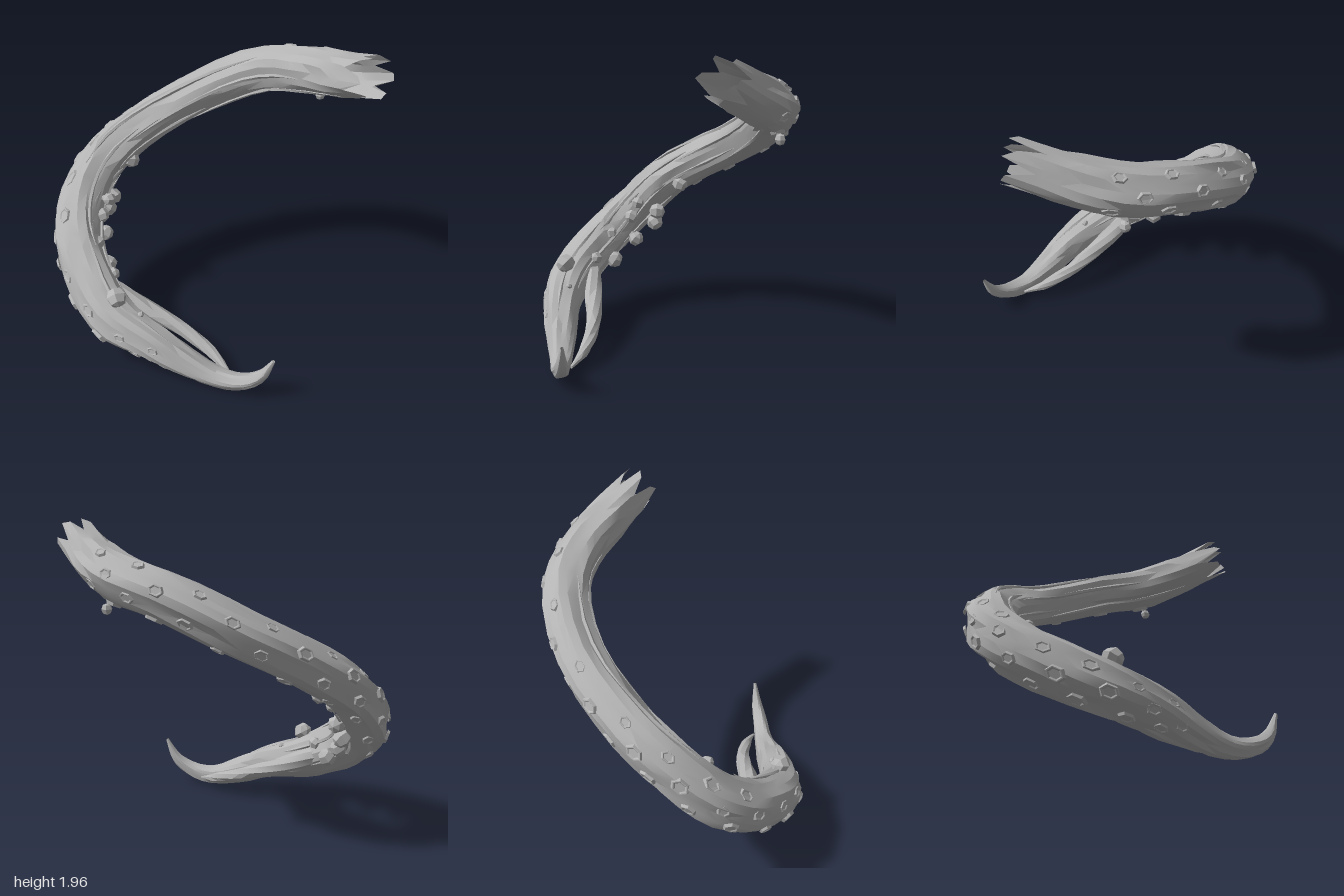
import * as THREE from 'three';
import { toCreasedNormals } from 'three/addons/utils/BufferGeometryUtils.js';

const V = (x, y, z) => new THREE.Vector3(x, y, z);
const UP = V(0, 1, 0);

// Seeded jitter in -1..1
const jitter = (i, j) => {
  const s = Math.sin(i * 127.1 + j * 311.7) * 43758.5453;
  return (s - Math.floor(s)) * 2 - 1;
};

// A limb is a centre line of [x, y, z, radius] with an outward/upward frame
function limb(points, ridge) {
  const curve = new THREE.CatmullRomCurve3(points.map(p => V(p[0], p[1], p[2])));
  const frame = t => {
    const tangent = curve.getTangent(t);
    const out = UP.clone().cross(tangent).normalize();
    const up = tangent.clone().cross(out);
    const k = Math.min(t * (points.length - 1), points.length - 1.0001);
    const i = Math.floor(k);
    const radius = THREE.MathUtils.lerp(points[i][3], points[i + 1][3], k - i);
    return { centre: curve.getPoint(t), tangent, out, up, radius };
  };
  const surface = (t, a, noise = 0) => {
    const f = frame(t);
    const normal = f.out.clone().multiplyScalar(Math.cos(a)).addScaledVector(f.up, Math.sin(a));
    const r = f.radius * (1 + ridge * Math.sin(5 * a + 9 * t) + noise);
    return { point: f.centre.clone().addScaledVector(normal, r), normal, tangent: f.tangent, radius: f.radius };
  };
  return { frame, surface };
}

// Skin a limb with long twisted facets; fray pushes the last ring out in points
function skin(body, rings, sides, rough, fray) {
  const position = [], index = [];
  for (let i = 0; i <= rings; i++) {
    const t = i / rings;
    for (let j = 0; j < sides; j++) {
      const a = (j / sides) * Math.PI * 2 + t * 2.5;
      const s = body.surface(t, a, rough * jitter(i >> 1, j));
      if (fray && i === rings) {
        s.point.addScaledVector(s.tangent, fray * (j % 3 ? 0.7 + 0.3 * jitter(j, 3) : -0.5));
      }
      position.push(s.point.x, s.point.y, s.point.z);
      if (i < rings) {
        const k = (j + 1) % sides;
        const p = i * sides + j, q = i * sides + k, u = p + sides, v = q + sides;
        if (j % 2) index.push(p, q, v, p, v, u);
        else index.push(p, q, u, q, v, u);
      }
    }
  }
  const g = new THREE.BufferGeometry();
  g.setAttribute('position', new THREE.Float32BufferAttribute(position, 3));
  g.setIndex(index);
  return toCreasedNormals(g, 0.32);
}

export function createModel() {
  const group = new THREE.Group();
  const grey = new THREE.MeshStandardMaterial({ color: 0xb4b4b4, side: THREE.DoubleSide });
  grey.name = 'stone grey';
  const add = (name, geometry) => {
    const mesh = new THREE.Mesh(geometry, grey);
    mesh.name = name;
    group.add(mesh);
    return mesh;
  };

  // Main limb, from the curled tip to the torn end
  const main = limb([
    [0.79, 0.32, 0.485, 0.01], [0.72, 0.175, 0.51, 0.038], [0.6, 0.092, 0.545, 0.052],
    [0.43, 0.07, 0.577, 0.066], [0.2, 0.14, 0.625, 0.094], [0, 0.22, 0.665, 0.113],
    [-0.25, 0.29, 0.685, 0.145], [-0.5, 0.415, 0.6, 0.156], [-0.72, 0.57, 0.45, 0.156],
    [-0.82, 0.75, 0.265, 0.152], [-0.81, 0.96, 0.03, 0.145], [-0.69, 1.13, -0.22, 0.142],
    [-0.4, 1.345, -0.525, 0.138], [0, 1.555, -0.685, 0.138], [0.35, 1.645, -0.655, 0.142],
    [0.6, 1.725, -0.54, 0.135], [0.81, 1.815, -0.41, 0.122],
  ], 0.07);
  add('limb', skin(main, 44, 18, 0.05, 0.13));

  // Short second tendril running behind the tip
  const side = limb([
    [0.5, 0.06, 0.5, 0.008], [0.35, 0.1, 0.45, 0.035], [0.12, 0.17, 0.435, 0.046],
    [-0.15, 0.26, 0.475, 0.058], [-0.42, 0.38, 0.54, 0.06],
  ], 0.05);
  add('sideTendril', skin(side, 14, 8, 0.08, 0));

  // Raised fibres that wind along the upper and front surface
  for (let n = 0; n < 8; n++) {
    const start = 0.28 + 0.065 * n, path = [];
    for (let k = 0; k <= 5; k++) {
      const p = main.surface(start + k * 0.042, 1.4 + (n * 1.1) % 2.6 + k * 0.1).point;
      path.push([p.x, p.y, p.z, k === 0 || k === 5 ? 0.002 : 0.014]);
    }
    add('fibre', skin(limb(path, 0), 10, 5, 0.1, 0));
  }

  // Six-sided dished suckers, in staggered rows over the outer and lower side
  const dish = new THREE.LatheGeometry([
    new THREE.Vector2(1.1, -0.35), new THREE.Vector2(0.92, 0.25),
    new THREE.Vector2(0.78, 0.25), new THREE.Vector2(0.6, 0.06), new THREE.Vector2(0, 0.06),
  ], 6);
  const suckerShape = toCreasedNormals(dish, 0.4);
  const rows = [1.05, 0.25, -0.5, -1.25];
  rows.forEach((angle, row) => {
    for (let k = 0; k < 13; k++) {
      const t = 0.27 + k * 0.052 + (row % 2) * 0.026;
      if (t > 0.9 || (row === 0 && t < 0.5)) continue;
      const s = main.surface(t, angle + 0.12 * jitter(k, row));
      const size = s.radius * (0.25 + 0.05 * jitter(row, k));
      const sucker = add('sucker', suckerShape);
      const across = s.normal.clone().cross(s.tangent);
      sucker.quaternion.setFromRotationMatrix(new THREE.Matrix4().makeBasis(across, s.normal, s.tangent));
      sucker.position.copy(s.point);
      sucker.scale.set(size, size * 0.75, size * 1.4);
    }
  });

  // Faceted knobs on the inner and lower side: x, y, z, radius
  const ball = toCreasedNormals(new THREE.SphereGeometry(1, 6, 4), 0.3);
  [
    [0.4, 1.465, -0.71, 0.034], [-0.62, 0.81, 0.23, 0.044], [-0.23, 0.47, 0.68, 0.066],
    [-0.085, 0.36, 0.63, 0.022], [-0.66, 0.95, -0.07, 0.058], [-0.73, 0.64, 0.12, 0.06],
    [-0.7, 0.73, 0.1, 0.058], [-0.66, 0.53, 0.25, 0.055], [-0.53, 0.41, 0.39, 0.06],
    [-0.65, 0.7, 0.28, 0.05], [-0.4, 0.46, 0.5, 0.045], [-0.58, 0.59, 0.42, 0.045],
  ].forEach(([x, y, z, r], i) => {
    const knob = add('knob', ball);
    knob.position.set(x, y, z);
    knob.scale.setScalar(r);
    knob.rotation.set(i * 0.8, i * 1.3, i * 0.5);
    // Stalk back to the nearest point of the limb
    let best = null, gap = Infinity;
    for (let t = 0; t <= 1; t += 0.01) {
      const c = main.frame(t).centre, d = c.distanceTo(knob.position);
      if (d < gap) { gap = d; best = c; }
    }
    const axis = best.clone().sub(knob.position);
    const stalk = add('knobStalk', new THREE.CylinderGeometry(r * 0.6, r * 0.4, gap, 6));
    stalk.position.copy(knob.position).addScaledVector(axis, 0.5);
    stalk.quaternion.setFromUnitVectors(UP, axis.normalize());
  });

  // Pointed splinters lifting off the inner bend
  const spike = new THREE.ConeGeometry(0.03, 0.2, 4);
  [[0.56, 2.6], [0.5, 2.2], [0.61, 3.3]].forEach(([t, a]) => {
    const s = main.surface(t, a);
    const splinter = add('splinter', spike);
    splinter.position.copy(s.point);
    splinter.quaternion.setFromUnitVectors(UP, s.tangent.clone().addScaledVector(s.normal, 0.3).normalize());
  });

  return group;
}
